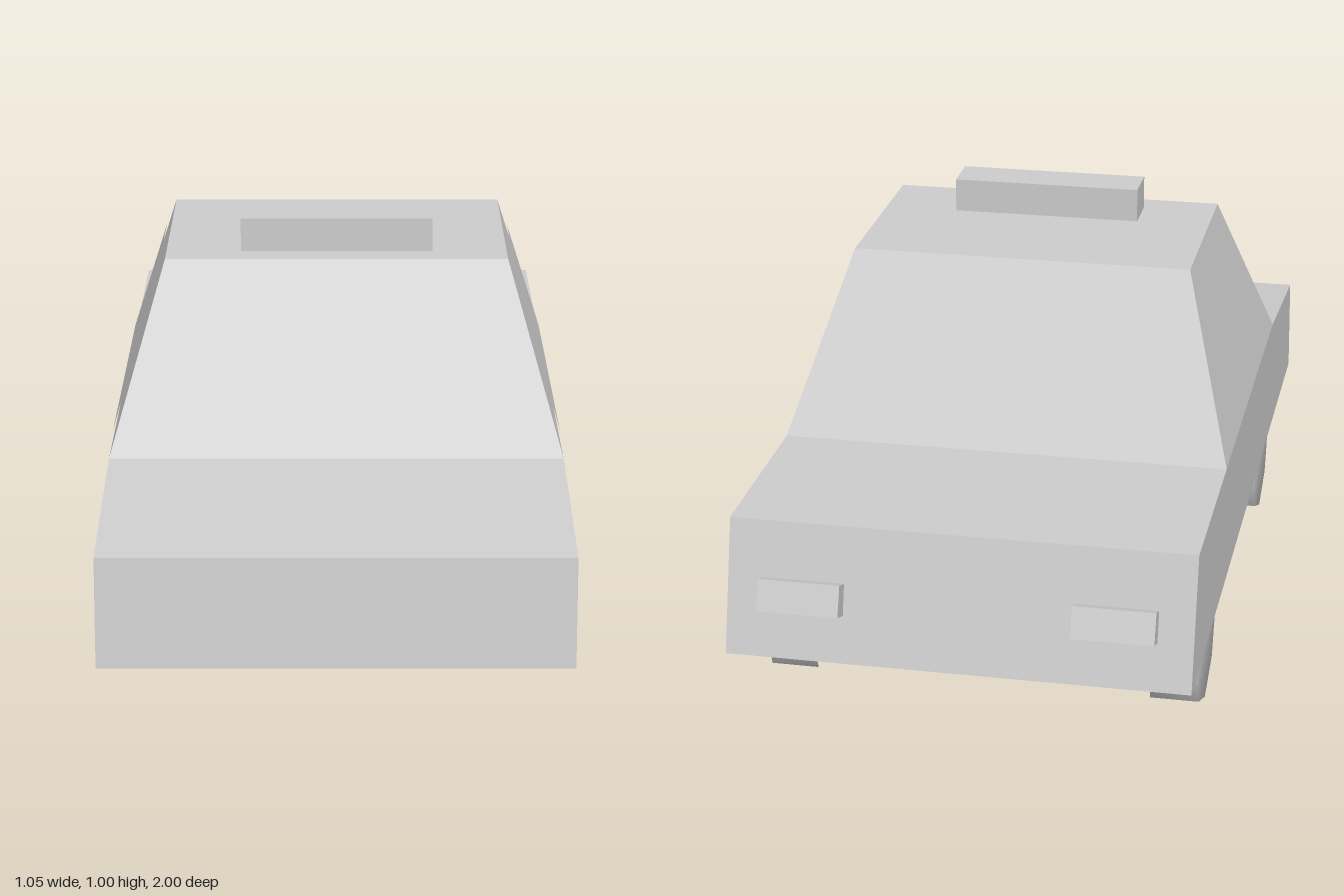
import * as THREE from 'three';

const grey = new THREE.MeshStandardMaterial({ color: 0xcccccc });
const HALF = 0.525, BELT = 0.52, ROOF = 0.925;

// Cabin outline at a given height: half width, front z and rear z
function cabinAt(y) {
  const t = (y - BELT) / (ROOF - BELT), mix = THREE.MathUtils.lerp;
  return { x: mix(HALF, 0.402, t), front: mix(0.515, 0.27, t), rear: mix(-0.435, -0.222, t) };
}

function add(parent, name, geometry, x = 0, y = 0, z = 0) {
  const mesh = new THREE.Mesh(geometry, grey);
  mesh.name = name;
  mesh.position.set(x, y, z);
  parent.add(mesh);
  return mesh;
}

// Four-cornered window pane, corners counter-clockwise seen from outside
function pane(a, b, c, d) {
  const g = new THREE.BufferGeometry();
  g.setAttribute('position', new THREE.Float32BufferAttribute([...a, ...b, ...c, ...a, ...c, ...d], 3));
  g.computeVertexNormals();
  return g;
}

export function createModel() {
  const car = new THREE.Group();
  car.name = 'car';

  // Lower body: side profile (z, y) extruded across the width
  const profile = [[1, 0.22], [0.965, 0.468], [0.515, BELT], [-0.9, BELT], [-0.978, 0.22]];
  const shape = new THREE.Shape(profile.map(([z, y]) => new THREE.Vector2(-z, y)));
  const body = new THREE.ExtrudeGeometry(shape, { depth: 2 * HALF, bevelEnabled: false });
  body.translate(0, 0, -HALF).rotateY(Math.PI / 2);
  add(car, 'body', body);

  // Cabin: a box tapered towards the roof
  const cabin = new THREE.BoxGeometry(1, 1, 1);
  const p = cabin.attributes.position;
  for (let i = 0; i < p.count; i++) {
    const y = p.getY(i) > 0 ? ROOF : BELT, c = cabinAt(y);
    p.setXYZ(i, Math.sign(p.getX(i)) * c.x, y, p.getZ(i) > 0 ? c.front : c.rear);
  }
  cabin.computeVertexNormals();
  add(car, 'cabin', cabin);

  // Windows lying on the cabin faces
  const top = 0.875, e = 0.003;
  const hi = cabinAt(top), lo = cabinAt(0.53), sill = cabinAt(0.55);
  add(car, 'windscreen', pane([-0.455, 0.53, lo.front + e], [0.455, 0.53, lo.front + e],
    [0.352, top, hi.front + e], [-0.352, top, hi.front + e]));
  add(car, 'rearWindow', pane([0.455, 0.53, lo.rear - e], [-0.455, 0.53, lo.rear - e],
    [-0.352, top, hi.rear - e], [0.352, top, hi.rear - e]));
  const xs = sill.x + 0.007, xt = hi.x + 0.007;
  add(car, 'leftWindow', pane([xs, 0.55, 0.412], [xs, 0.55, -0.345], [xt, top, -0.172], [xt, top, 0.22]));
  add(car, 'rightWindow', pane([-xs, 0.55, -0.345], [-xs, 0.55, 0.412], [-xt, top, 0.22], [-xt, top, -0.172]));

  // Roof sign
  add(car, 'roofSign', new THREE.BoxGeometry(0.452, 0.085, 0.108), 0, 0.9625, 0.153);

  // Eight-sided wheels, smooth shaded, open towards the inside
  const wheel = new THREE.LatheGeometry(
    [[0.162, 0], [0.162, 0.112], [0, 0.112]].map(([r, h]) => new THREE.Vector2(r, h)), 8);
  for (const side of [1, -1]) {
    const name = side > 0 ? 'left' : 'right';
    for (const [end, z] of [['Front', 0.515], ['Rear', -0.575]]) {
      add(car, `${name}${end}Wheel`, wheel, side * 0.393, 0.162, z).rotation.z = -side * Math.PI / 2;
    }
    // Tail lights tilted with the rear panel
    add(car, `${name}TailLight`, new THREE.BoxGeometry(0.185, 0.072, 0.06),
      side * 0.352, 0.365, -0.956).rotation.x = 0.35;
  }
  return car;
}
